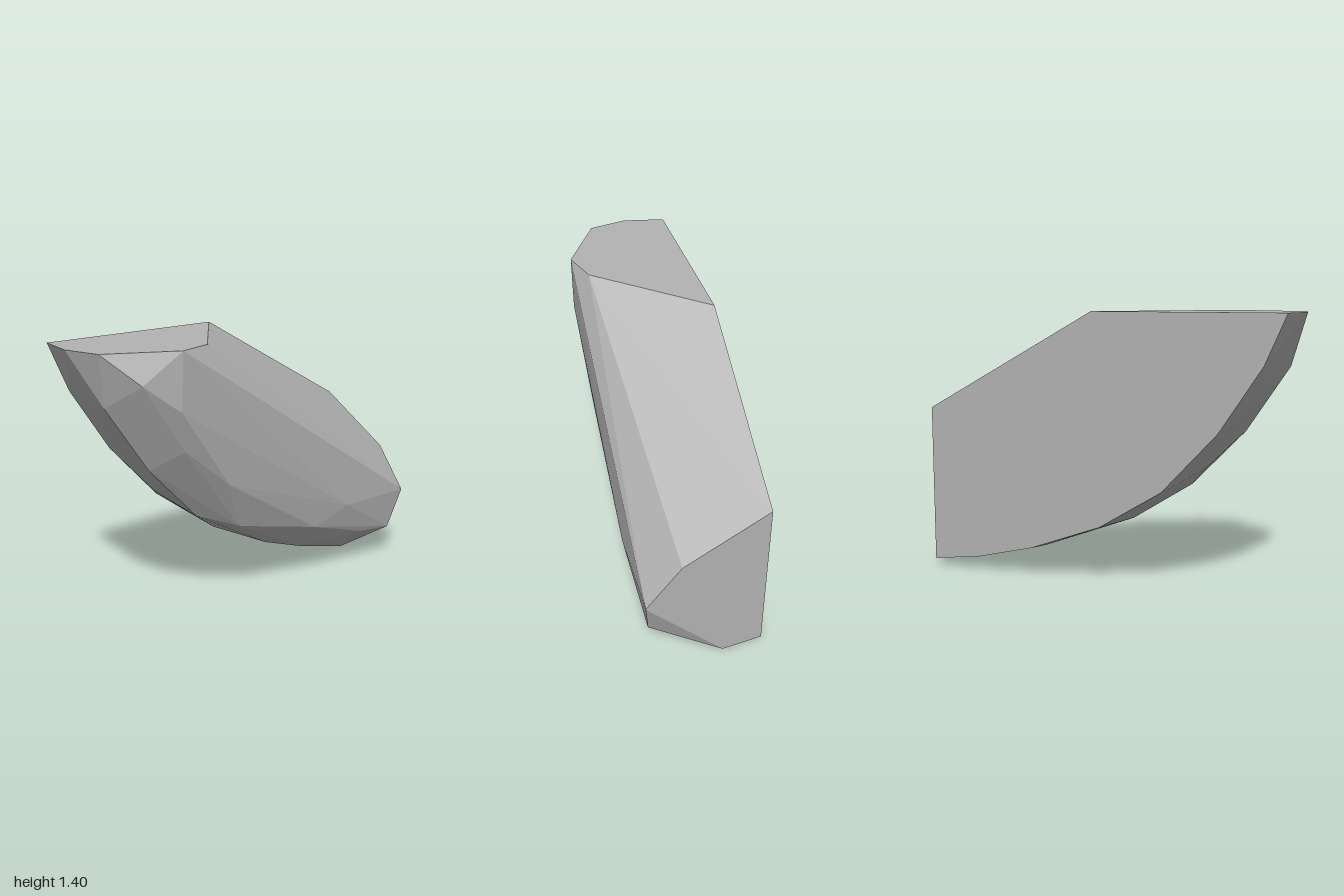
import * as THREE from 'three';
import { ConvexGeometry } from 'three/addons/geometries/ConvexGeometry.js';

// A faceted rock shard: rings of corners wrapped in one convex skin.
export function createModel() {
  const group = new THREE.Group();
  group.name = 'rockShard';
  const stone = new THREE.MeshStandardMaterial({ color: 0xb2b2b2 });
  stone.name = 'stone grey';

  const rings = [
    // flat back: straight cuts and curved belly
    [[0.04, 1.41, -0.3], [1, 0.885, -0.3], [1, 0.04, -0.3], [0.72, 0.08, -0.3], [0.4, 0.16, -0.3],
      [0, 0.31, -0.3], [-0.34, 0.52, -0.3], [-0.63, 0.83, -0.3], [-0.85, 1.16, -0.3], [-0.96, 1.41, -0.3]],
    // outermost belly ring
    [[-1, 1.41, -0.08], [-0.79, 1, -0.09], [-0.5, 0.62, -0.1], [-0.11, 0.33, -0.1],
      [0.41, 0.13, -0.1], [1, 0.005, -0.1]],
    // staggered belly ring
    [[-0.95, 1.41, 0.12], [-0.89, 1.14, 0.06], [-0.66, 0.8, 0.08], [-0.37, 0.5, 0.08],
      [0.11, 0.235, 0.08], [0.72, 0.05, 0.08]],
    // shoulder ridge
    [[-0.8, 1.26, 0.24], [-0.56, 0.91, 0.24], [-0.31, 0.7, 0.27], [-0.18, 0.43, 0.19],
      [0.31, 0.325, 0.265], [0.31, 0.18, 0.15], [0.7, 0.2, 0.25], [0.92, 0.18, 0.265]],
    // front face
    [[-0.61, 1.41, 0.3], [-0.62, 1.12, 0.295], [0.53, 0.41, 0.3], [1, 0.4, 0.295]],
    // sloping upper cut
    [[-0.42, 1.41, 0.24], [1, 0.63, 0.12]],
  ];

  const points = rings.flat().map((p) => new THREE.Vector3(...p));
  const rock = new THREE.Mesh(new ConvexGeometry(points), stone);
  rock.name = 'rock';
  group.add(rock);
  return group;
}
